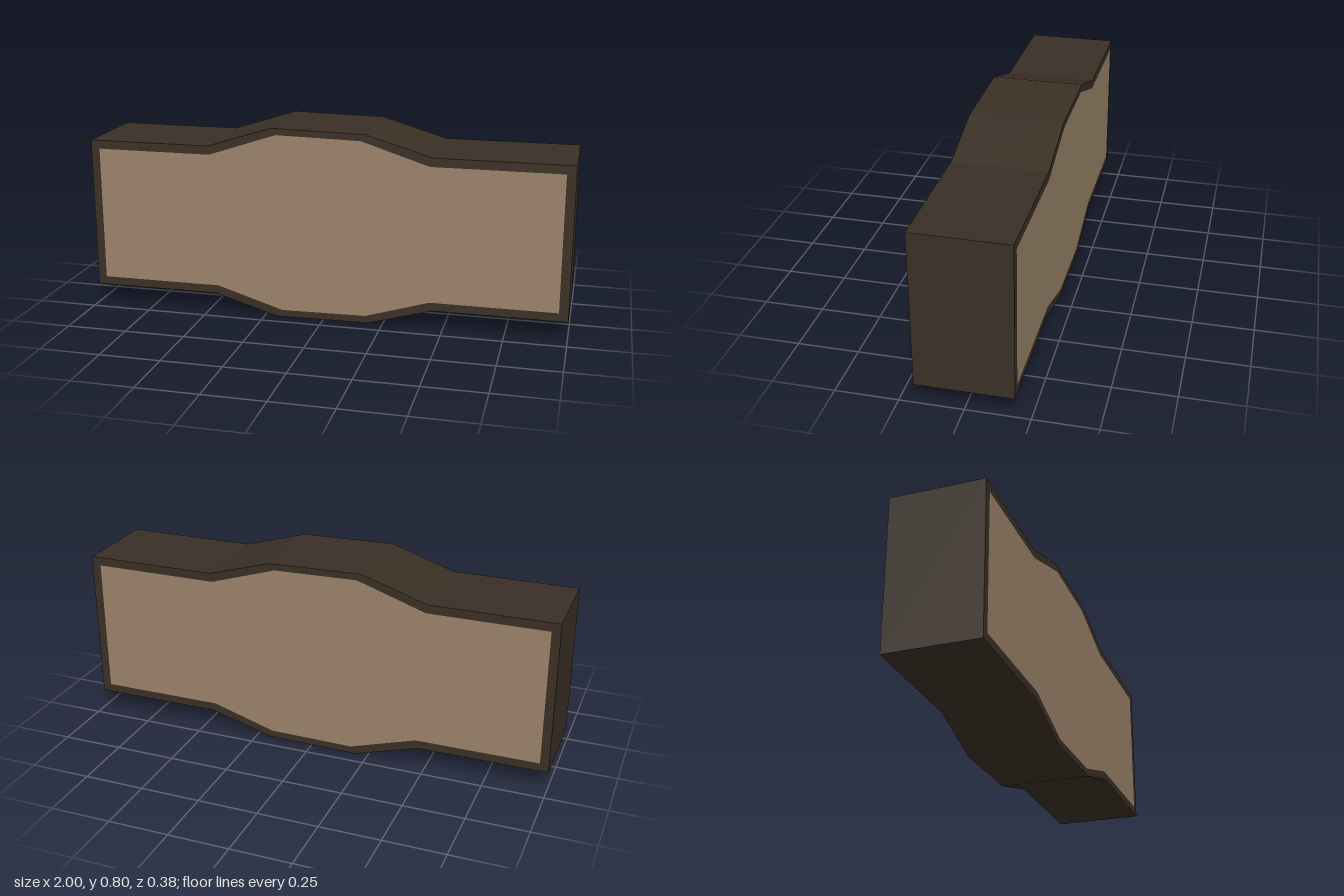
import * as THREE from 'three';

const DEPTH = 0.38;

// Outlines run clockwise from the upper left corner
const OUTER = [
  [-1, 0.716], [-0.485, 0.716], [-0.215, 0.803], [0.175, 0.796], [0.445, 0.716], [1, 0.716],
  [1, 0.08], [0.455, 0.08], [0.19, 0.004], [-0.2, 0], [-0.465, 0.08], [-1, 0.08],
];
const INNER = [
  [-0.964, 0.68], [-0.48, 0.68], [-0.195, 0.776], [0.155, 0.769], [0.435, 0.68], [0.962, 0.68],
  [0.962, 0.115], [0.445, 0.115], [0.18, 0.034], [-0.175, 0.029], [-0.455, 0.115], [-0.964, 0.115],
];

const toPoints = (outline) => outline.map(([x, y]) => new THREE.Vector2(x, y));

function extrude(shape) {
  const geometry = new THREE.ExtrudeGeometry(shape, { depth: DEPTH, bevelEnabled: false });
  return geometry.translate(0, 0, -DEPTH / 2);
}

export function createModel() {
  const darkWood = new THREE.MeshStandardMaterial({ name: 'darkWood', color: 0x3a2f25 });
  const lightWood = new THREE.MeshStandardMaterial({ name: 'lightWood', color: 0x9a8269 });
  const model = new THREE.Group();
  model.name = 'signBlock';

  // Dark surround, open front and back
  const frameShape = new THREE.Shape(toPoints(OUTER));
  frameShape.holes.push(new THREE.Path(toPoints(INNER)));
  const frame = new THREE.Mesh(extrude(frameShape), darkWood);
  frame.name = 'frame';

  // Light core, flush with the surround on both faces
  const panel = new THREE.Mesh(extrude(new THREE.Shape(toPoints(INNER))), lightWood);
  panel.name = 'panel';

  model.add(frame, panel);
  return model;
}
